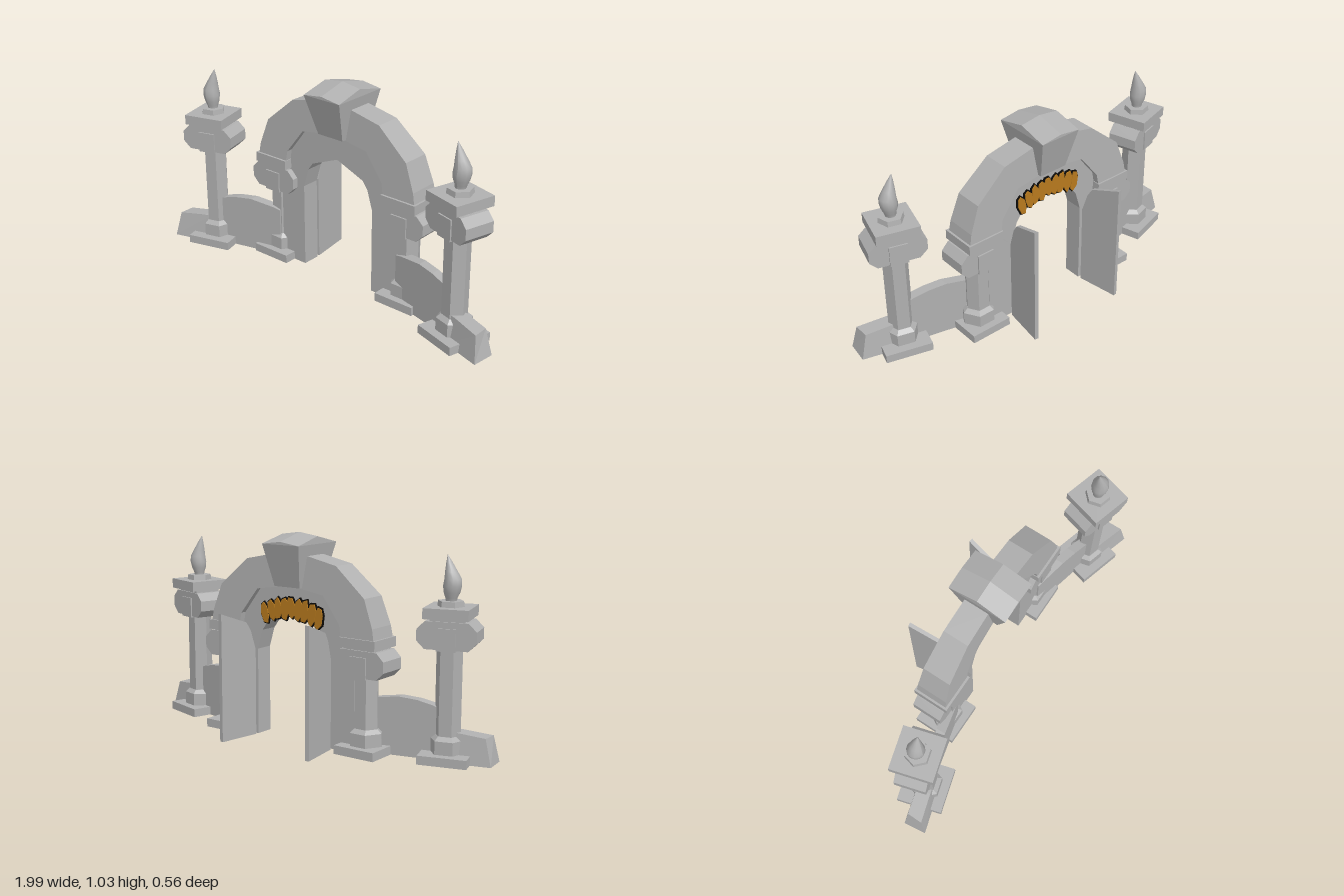
import * as THREE from 'three';
import { ConvexGeometry } from 'three/addons/geometries/ConvexGeometry.js';

const stone = new THREE.MeshStandardMaterial({ color: 0xb0b0b0, flatShading: true });
stone.name = 'grey stone';
const smoothStone = new THREE.MeshStandardMaterial({ color: 0xb0b0b0 });
smoothStone.name = 'smooth grey stone';
const gold = new THREE.MeshStandardMaterial({ color: 0xb87a1e });
gold.name = 'gold';
const black = new THREE.MeshStandardMaterial({ color: 0x0c0a08 });
black.name = 'black';

function add(parent, name, geometry, material = stone, x = 0, y = 0, z = 0) {
  const mesh = new THREE.Mesh(geometry, material);
  mesh.name = name;
  mesh.position.set(x, y, z);
  parent.add(mesh);
  return mesh;
}

function box(parent, name, w, y0, y1, d, x = 0, z = 0) {
  return add(parent, name, new THREE.BoxGeometry(w, y1 - y0, d), stone, x, (y0 + y1) / 2, z);
}

// Six-sided prism or frustum with corners on the x axis
function hex(parent, name, rBottom, rTop, y0, y1) {
  const g = new THREE.CylinderGeometry(rTop, rBottom, y1 - y0, 6).rotateY(Math.PI / 2);
  return add(parent, name, g, stone, 0, (y0 + y1) / 2, 0);
}

// Outline in x and y, extruded between two z values
function slab(points, z0, z1) {
  const shape = new THREE.Shape(points.map(([x, y]) => new THREE.Vector2(x, y)));
  return new THREE.ExtrudeGeometry(shape, { depth: z1 - z0, bevelEnabled: false }).translate(0, 0, z0);
}

// Moves every vertex by a rule
function warp(geometry, rule) {
  const p = geometry.attributes.position;
  const v = new THREE.Vector3();
  for (let i = 0; i < p.count; i++) {
    rule(v.fromBufferAttribute(p, i));
    p.setXYZ(i, v.x, v.y, v.z);
  }
  geometry.computeVertexNormals();
  return geometry;
}

const mirrored = (half) => [...half, ...half.map(([x, y]) => [-x, y]).reverse()];

// Foot, shaft and scrolled capital; capY is the underside of the capital
function pillar(name, capY, baseSize) {
  const g = new THREE.Group();
  g.name = name;
  box(g, 'base', baseSize, 0, 0.043, baseSize);
  hex(g, 'plinth', 0.086, 0.086, 0.043, 0.107);
  hex(g, 'plinthBevel', 0.086, 0.064, 0.107, 0.126);
  hex(g, 'shaft', 0.062, 0.062, 0.12, capY + 0.05);
  for (const s of [-1, 1]) {
    const scroll = new THREE.CylinderGeometry(0.07, 0.07, 0.155, 8).rotateY(Math.PI / 8).rotateX(Math.PI / 2);
    add(g, 'scroll', scroll, stone, s * 0.075, capY + 0.065, 0);
  }
  box(g, 'capitalBand', 0.18, capY + 0.09, capY + 0.13, 0.155);
  box(g, 'bracket', 0.09, capY - 0.005, capY + 0.1, 0.17);
  return g;
}

function archway(root) {
  // Arch ring, slightly thinner towards the top
  const outer = [[0.495, 0.565], [0.485, 0.62], [0.435, 0.755], [0.27, 0.895], [0.1, 0.93]];
  const inner = [[0.07, 0.77], [0.2, 0.75], [0.3, 0.62], [0.31, 0.565]];
  const ring = [...outer, ...outer.map(([x, y]) => [-x, y]).reverse(),
    ...inner.map(([x, y]) => [-x, y]).reverse(), ...inner];
  add(root, 'arch', warp(slab(ring, -0.08, 0.085), (v) => { v.z *= 1 - (v.y - 0.565) * 0.6; }));

  // Recessed wall around the doorway
  const wall = mirrored([[0, 0.645], [0.16, 0.58], [0.19, 0.54], [0.22, 0.44], [0.22, 0],
    [0.37, 0], [0.37, 0.57], [0.25, 0.77]].reverse()).filter(([x, y], i, a) =>
    !(i > 0 && x === 0 && a[i - 1][0] === 0));
  add(root, 'doorwayWall', slab(wall, -0.045, 0.05));

  // Tapered keystone with a ridged cap
  const pts = [];
  for (const s of [-1, 1]) {
    for (const [x, y, z] of [[0.108, 1.02, 0.01], [0.11, 0.983, 0.163], [0.11, 0.983, -0.143],
      [0.076, 0.775, 0.1], [0.076, 0.775, -0.09]]) pts.push(new THREE.Vector3(s * x, y, z));
  }
  for (const [y, z] of [[1.035, 0.01], [0.998, 0.163], [0.998, -0.143]]) pts.push(new THREE.Vector3(0, y, z));
  add(root, 'keystone', new ConvexGeometry(pts));
}

// Jagged abstract ornament over the back of the doorway
function ornament(root) {
  const g = new THREE.Group();
  g.name = 'ornament';
  let seed = 7;
  const rnd = () => (seed = (seed * 16807) % 2147483647) / 2147483647;
  const count = 9;
  for (let i = 0; i < count; i++) {
    const t = (i - (count - 1) / 2) / ((count - 1) / 2);
    const x = t * 0.165;
    const y = 0.668 - 0.035 * t * t;
    const points = [];
    for (let k = 0; k < 7; k++) {
      const a = (k / 7) * Math.PI * 2;
      const r = 0.75 + 0.4 * rnd();
      points.push([Math.cos(a) * 0.025 * r, Math.sin(a) * 0.058 * r]);
    }
    const back = add(g, 'shardBacking', slab(points.map(([a, b]) => [a * 1.3, b * 1.12]), -0.054, -0.046), black, x, y, 0);
    const front = add(g, 'shard', slab(points, -0.06, -0.054), gold, x, y, 0);
    back.rotation.z = front.rotation.z = -t * 0.25;
  }
  root.add(g);
}

function side(root, s) {
  const label = s > 0 ? 'left' : 'right';

  // Inner pillar carrying the arch
  const inner = pillar(label + 'InnerPillar', 0.38, 0.222);
  inner.position.set(s * 0.406, 0, 0.004);
  box(inner, 'neck', 0.17, 0.505, 0.522, 0.14);
  box(inner, 'impost', 0.2, 0.518, 0.566, 0.185);
  root.add(inner);

  // Outer pillar with a brazier slab and flame, turned inwards
  const outer = pillar(label + 'OuterPillar', 0.537, 0.235);
  outer.position.set(s * 0.775, 0, 0.132);
  outer.rotation.y = -s * 0.28;
  box(outer, 'neck', 0.16, 0.66, 0.685, 0.14);
  box(outer, 'topSlab', 0.212, 0.68, 0.73, 0.212);
  hex(outer, 'brazier', 0.064, 0.06, 0.73, 0.756);
  root.add(outer);

  const profile = [[0.026, 0], [0.028, 0.015], [0.038, 0.04], [0.043, 0.07], [0.04, 0.1], [0.029, 0.135],
    [0.015, 0.175], [0, 0.212]].map(([r, y]) => new THREE.Vector2(r, y));
  const flame = warp(new THREE.LatheGeometry(profile, 12), (v) => {
    v.x += -s * (v.y > 0.1 ? (v.y - 0.1) * 0.28 - 0.008 : -v.y * 0.08 * -1 * -1);
  });
  add(root, label + 'Flame', flame, smoothStone, s * 0.775, 0.754, 0.132);

  // Low wall between the pillars, angled forward
  const low = [[0.38, 0], [0.78, 0], [0.78, 0.235], [0.715, 0.262], [0.64, 0.28], [0.55, 0.288], [0.42, 0.27], [0.38, 0.26]];
  add(root, label + 'LowWall', warp(slab(low.map(([x, y]) => [s * x, y]), -0.025, 0.025), (v) => {
    v.z += 0.05 + 0.24 * (Math.abs(v.x) - 0.42);
  }));

  // Sloping end block beyond the outer pillar
  const end = [[0.78, 0], [0.995, 0], [0.96, 0.13], [0.82, 0.145], [0.78, 0.145]];
  add(root, label + 'EndBlock', warp(slab(end.map(([x, y]) => [s * x, y]), -0.058, 0.058), (v) => {
    v.z = v.z * (1 - v.y * 2.4) + 0.145 + 0.28 * (Math.abs(v.x) - 0.78);
    if (v.z > 0.17 && Math.abs(v.x) > 0.98) v.x -= s * 0.015 * (v.z > 0.2 ? 1 : 0);
  }));

  // Open door leaf, hinged at the back of the doorway
  const leaf = [[0, 0], [0.222, 0], [0.222, 0.642], [0.06, 0.583], [0.032, 0.54], [0, 0.44]];
  const door = add(root, label + 'Door', slab(leaf.map(([x, y]) => [-s * x, y]), -0.01, 0.01), stone, s * 0.232, 0, -0.06);
  door.rotation.y = -s * 1.72;
}

export function createModel() {
  const root = new THREE.Group();
  root.name = 'gateway';
  archway(root);
  ornament(root);
  side(root, 1);
  side(root, -1);
  return root;
}
